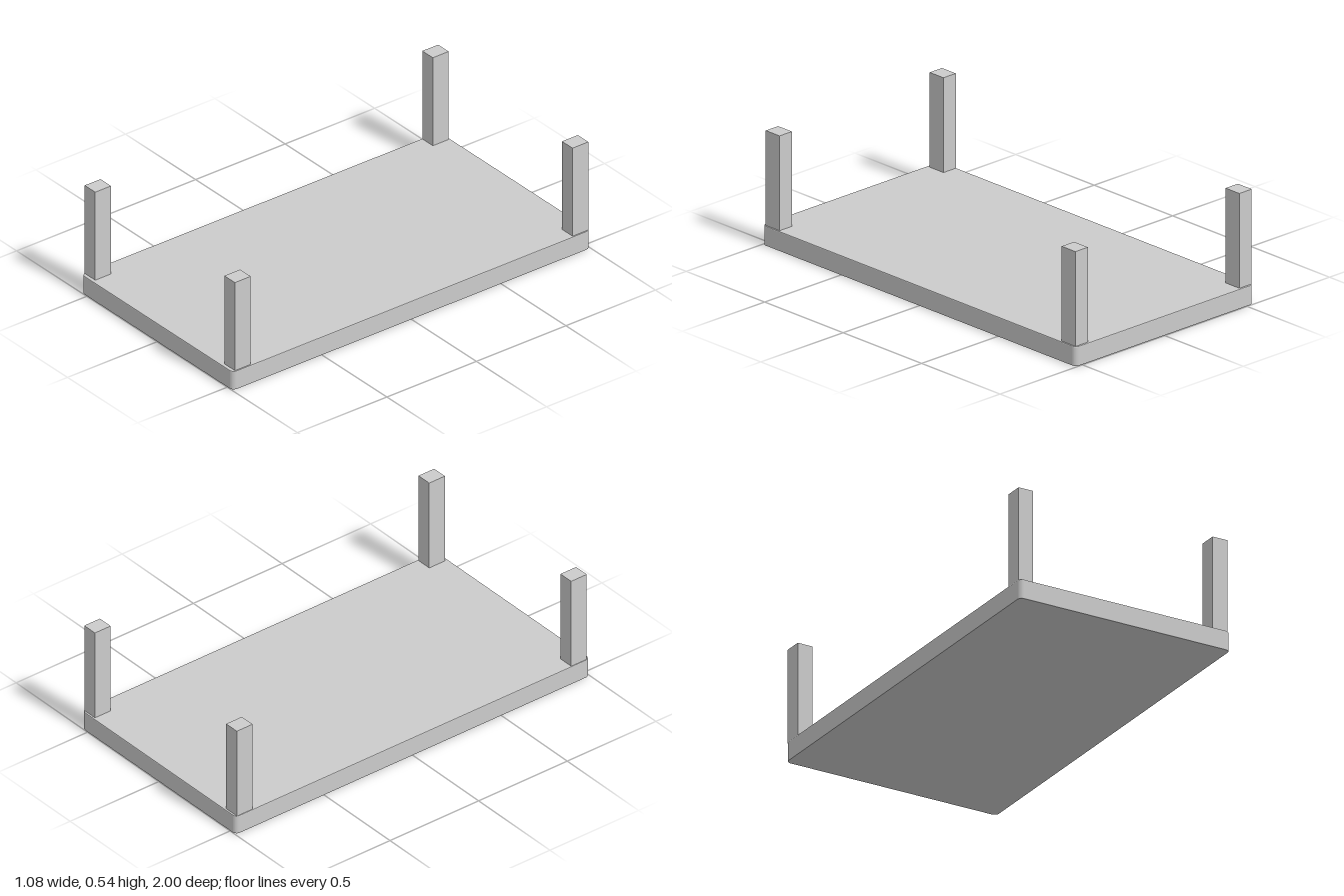
import * as THREE from 'three';

const material = new THREE.MeshStandardMaterial({ color: 0xcccccc, flatShading: true });

// Rectangle with rounded corners, centred on the origin
function roundedRect(hw, hd, r) {
  const s = new THREE.Shape();
  s.absarc(hw - r, hd - r, r, 0, Math.PI / 2);
  s.absarc(-hw + r, hd - r, r, Math.PI / 2, Math.PI);
  s.absarc(-hw + r, -hd + r, r, Math.PI, Math.PI * 1.5);
  s.absarc(hw - r, -hd + r, r, Math.PI * 1.5, Math.PI * 2);
  return s;
}

export function createModel() {
  const group = new THREE.Group();
  group.name = 'upturnedTable';

  // Table top lying on the ground, with finely eased edges
  const height = 0.094, bevel = 0.004;
  const slab = new THREE.ExtrudeGeometry(roundedRect(0.54 - bevel, 1 - bevel, 0.02), {
    depth: height - 2 * bevel, bevelEnabled: true,
    bevelSize: bevel, bevelThickness: bevel, bevelSegments: 2, curveSegments: 5,
  });
  slab.rotateX(-Math.PI / 2).translate(0, bevel, 0);
  const top = new THREE.Mesh(slab, material);
  top.name = 'tableTop';
  group.add(top);

  // Four square legs pointing up, each set slightly off the corner
  const legTop = 0.543, legBase = height - 0.004;
  const legGeometry = new THREE.BoxGeometry(0.075, legTop - legBase, 0.088);
  for (const [side, x] of [['Left', 0.496], ['Right', -0.499]]) {
    for (const [end, z] of [['front', 0.939], ['back', -0.947]]) {
      const leg = new THREE.Mesh(legGeometry, material);
      leg.name = `${end}${side}Leg`;
      leg.position.set(x, (legTop + legBase) / 2, z);
      group.add(leg);
    }
  }
  return group;
}
